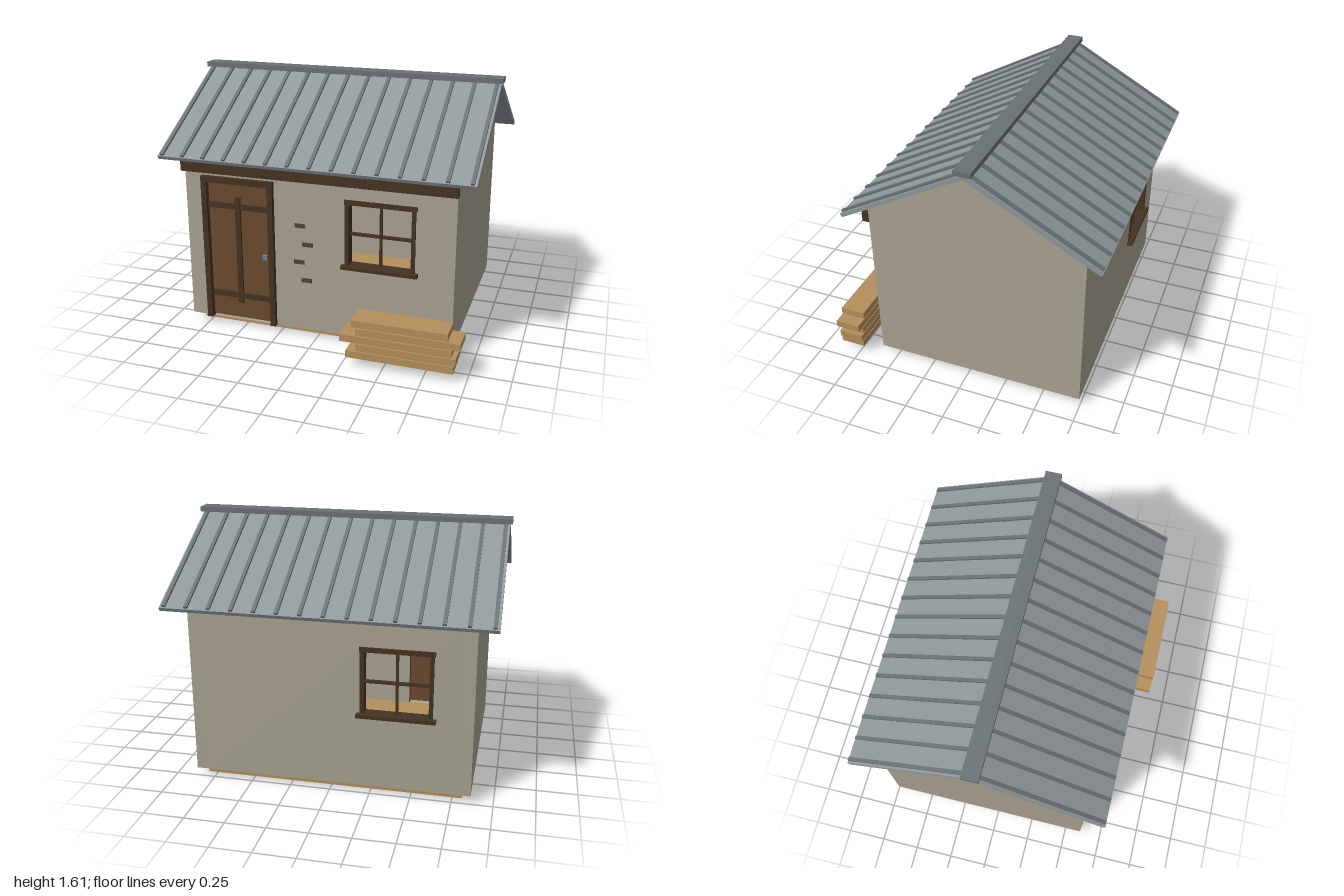
import * as THREE from 'three';

const mat = (color, side = THREE.FrontSide) => new THREE.MeshStandardMaterial({ color, flatShading: true, side });
const M = {
  wall: mat(0xa8a290), wood: mat(0xb48f5c), trim: mat(0x443222), door: mat(0x6b4a30),
  roof: mat(0x8f979b), rib: mat(0x697174), brick: mat(0x4a463c), metal: mat(0x7a8084),
};

// Box given by its min and max along each axis
function box(parent, name, material, x0, x1, y0, y1, z0, z1) {
  const mesh = new THREE.Mesh(new THREE.BoxGeometry(x1 - x0, y1 - y0, z1 - z0), material);
  mesh.position.set((x0 + x1) / 2, (y0 + y1) / 2, (z0 + z1) / 2);
  mesh.name = name;
  parent.add(mesh);
  return mesh;
}

const rect = (Type, x0, x1, y0, y1) => new Type([
  new THREE.Vector2(x0, y0), new THREE.Vector2(x1, y0), new THREE.Vector2(x1, y1), new THREE.Vector2(x0, y1)]);

const W = 0.865, FRONT = 0.605, BACK = -0.745, MID = -0.07, T = 0.06, BASE = 0.05, EAVE = 1.155;

// Long wall with rectangular openings, outer face at z = 0 looking +z
function longWall(name, openings) {
  const shape = rect(THREE.Shape, -W + T, W - T, BASE, EAVE);
  openings.forEach(o => shape.holes.push(rect(THREE.Path, ...o)));
  const geo = new THREE.ExtrudeGeometry(shape, { depth: T, bevelEnabled: false });
  geo.translate(0, 0, -T);
  const mesh = new THREE.Mesh(geo, M.wall);
  mesh.name = name;
  return mesh;
}

// Gable end wall, extruded along x
function gableWall(name, x) {
  const shape = new THREE.Shape([[-FRONT, BASE], [-BACK, BASE], [-BACK, EAVE], [-MID, 1.563], [-FRONT, EAVE]]
    .map(p => new THREE.Vector2(...p)));
  const geo = new THREE.ExtrudeGeometry(shape, { depth: T, bevelEnabled: false });
  geo.rotateY(Math.PI / 2);
  const mesh = new THREE.Mesh(geo, M.wall);
  mesh.position.x = x;
  mesh.name = name;
  return mesh;
}

// Window frame around the opening, wall face at z = 0
function windowFrame(name) {
  const g = new THREE.Group();
  g.name = name;
  box(g, 'leftJamb', M.trim, 0.19, 0.215, 0.53, 0.925, -T, 0.008);
  box(g, 'rightJamb', M.trim, 0.6, 0.625, 0.53, 0.925, -T, 0.008);
  box(g, 'windowHead', M.trim, 0.185, 0.632, 0.92, 0.95, -T, 0.01);
  box(g, 'windowSill', M.trim, 0.168, 0.645, 0.51, 0.532, -T, 0.035);
  box(g, 'mullion', M.trim, 0.4, 0.415, 0.53, 0.925, -0.035, -0.015);
  box(g, 'crossBar', M.trim, 0.21, 0.605, 0.72, 0.737, -0.035, -0.015);
  return g;
}

// One roof slope with standing ribs, falling toward +z
function roofSlope(name) {
  const g = new THREE.Group(), slope = new THREE.Group();
  const L = 0.905;
  g.name = name;
  slope.rotation.x = THREE.MathUtils.degToRad(28.7);
  box(slope, 'roofPanel', M.roof, -0.988, 0.986, -0.025, 0, 0, L);
  for (let i = 0; i < 15; i++) {
    const x = -0.96 + i * 0.1371;
    box(slope, 'roofRib', M.rib, x - 0.011, x + 0.011, -0.002, 0.013, 0, L - 0.008);
  }
  g.add(slope);
  g.position.set(0, 1.58, -0.075);
  return g;
}

export function createModel() {
  const model = new THREE.Group();
  model.name = 'cabin';

  // Floor and walls
  box(model, 'floor', M.wood, -0.81, 0.81, 0, 0.05, -0.69, 0.545);
  const opening = [0.2, 0.615, 0.52, 0.94];
  const door = [-0.72, -0.3, BASE + 0.0001, 0.985];
  const front = longWall('frontWall', [door, opening]);
  front.position.z = FRONT;
  const back = longWall('backWall', [opening]);
  back.position.z = BACK;
  back.rotation.y = Math.PI;
  model.add(front, back, gableWall('rightWall', -W), gableWall('leftWall', W - T));

  // Windows
  const frontWindow = windowFrame('frontWindow');
  frontWindow.position.z = FRONT;
  const backWindow = windowFrame('backWindow');
  backWindow.position.z = BACK;
  backWindow.rotation.y = Math.PI;
  model.add(frontWindow, backWindow);

  // Shelf on the inside of the back wall
  box(model, 'shelf', M.trim, 0.15, 0.68, 0.615, 0.642, BACK + T, BACK + T + 0.12);

  // Door with frame, straps and handle
  const doorGroup = new THREE.Group();
  doorGroup.name = 'door';
  box(doorGroup, 'doorPanel', M.door, -0.715, -0.305, 0.062, 0.98, 0.565, 0.6);
  for (const x of [-0.748, -0.305]) box(doorGroup, 'doorJamb', M.trim, x, x + 0.036, BASE, 1.0, 0.55, 0.635);
  box(doorGroup, 'doorHead', M.trim, -0.748, -0.269, 0.978, 1.015, 0.55, 0.635);
  for (const y of [0.203, 0.808]) box(doorGroup, 'doorStrap', M.trim, -0.712, -0.305, y, y + 0.036, 0.598, 0.612);
  box(doorGroup, 'doorPost', M.trim, -0.53, -0.496, 0.17, 0.888, 0.598, 0.615);
  box(doorGroup, 'doorHandle', M.metal, -0.352, -0.32, 0.493, 0.525, 0.598, 0.62);
  model.add(doorGroup);

  // Beam under the front eave
  box(model, 'eaveBeam', M.trim, -0.875, 0.872, 1.04, 1.105, FRONT, 0.645);

  // Exposed bricks beside the door
  for (const [x, y] of [[-0.1, 0.75], [-0.052, 0.63], [-0.108, 0.51], [-0.06, 0.39]])
    box(model, 'brick', M.brick, x - 0.034, x + 0.034, y - 0.013, y + 0.013, 0.595, 0.613);

  // Roof
  const frontRoof = roofSlope('frontRoof'), backRoof = roofSlope('backRoof');
  backRoof.rotation.y = Math.PI;
  model.add(frontRoof, backRoof);
  box(model, 'ridgeCap', M.rib, -1, 0.998, 1.573, 1.605, -0.127, -0.023);

  // Stacked planks
  [[0.278, 0.925], [0.338, 0.937], [0.24, 0.912], [0.338, 0.962], [0.31, 0.888]].forEach(([x0, x1], i) =>
    box(model, 'plank', M.wood, x0, x1, 0.058 + i * 0.051, 0.102 + i * 0.051, 0.715, 0.875));

  return model;
}
